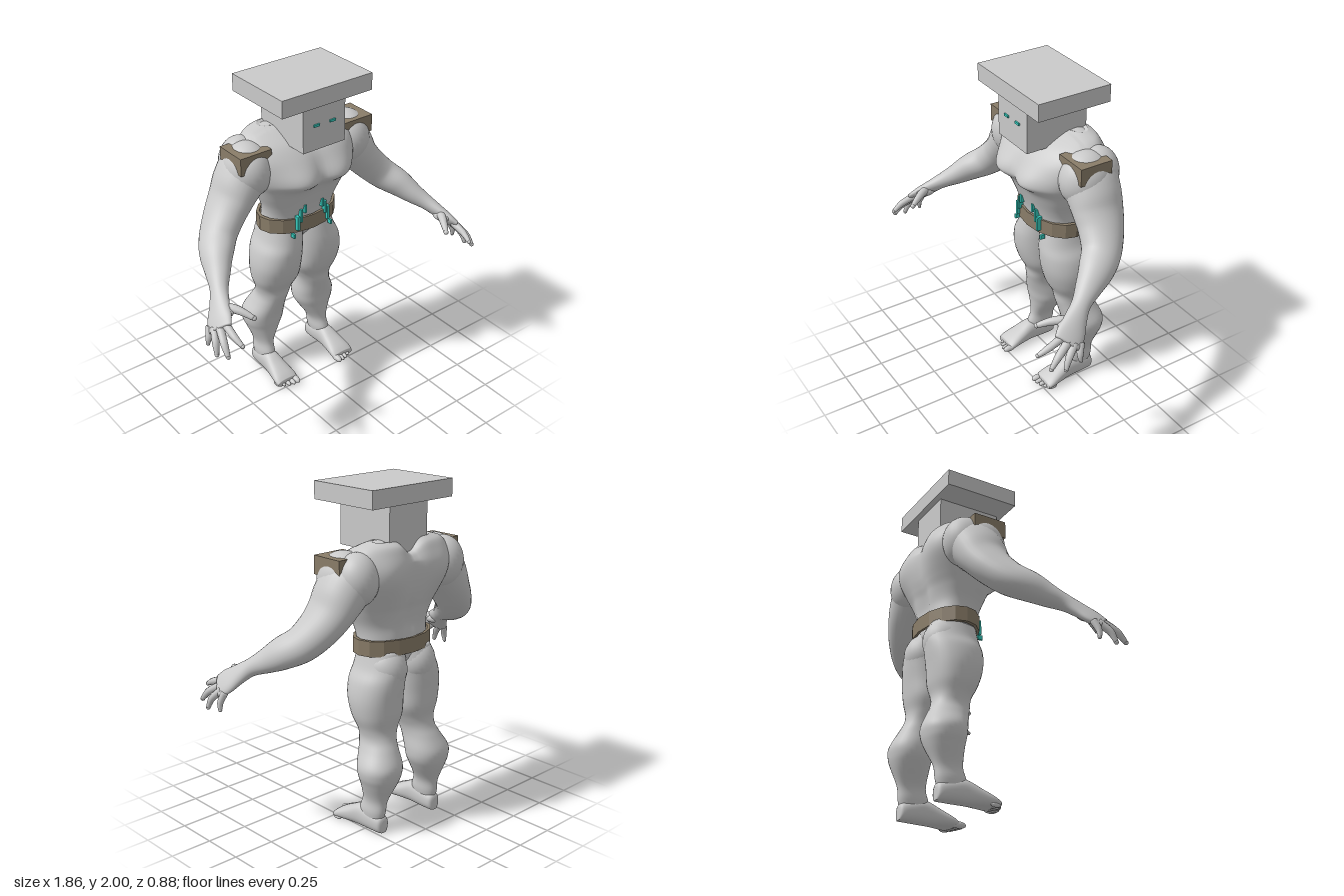
import * as THREE from 'three';

const skin = new THREE.MeshStandardMaterial({ color: 0xcacaca });
skin.name = 'grey skin';
const leather = new THREE.MeshStandardMaterial({ color: 0x8a7d69, flatShading: true });
leather.name = 'brown leather';
const glow = new THREE.MeshStandardMaterial({ color: 0x36cbbd });
glow.name = 'teal glow';

const UP = new THREE.Vector3(0, 1, 0);
const FRONT = new THREE.Vector3(0, 0, 1);

function add(parent, name, geometry, material, x = 0, y = 0, z = 0) {
  const mesh = new THREE.Mesh(geometry, material);
  mesh.name = name;
  mesh.position.set(x, y, z);
  parent.add(mesh);
  return mesh;
}

// Box given by its limits
function block(parent, name, material, x0, x1, y0, y1, z0, z1) {
  return add(parent, name, new THREE.BoxGeometry(Math.abs(x1 - x0), y1 - y0, z1 - z0), material,
    (x0 + x1) / 2, (y0 + y1) / 2, (z0 + z1) / 2);
}

function muscle(parent, name, c, r, tilt = 0) {
  const mesh = add(parent, name, new THREE.SphereGeometry(1, 28, 20), skin, ...c);
  mesh.scale.set(...r);
  mesh.rotation.z = tilt;
  return mesh;
}

// Smooth interpolation through rows of numbers
function refine(rows, steps) {
  const out = [];
  const at = (i) => rows[Math.max(0, Math.min(rows.length - 1, i))];
  for (let i = 0; i < rows.length - 1; i++) {
    for (let k = 0; k < steps; k++) {
      const u = k / steps;
      out.push(rows[i].map((b, n) => {
        const a = at(i - 1)[n], c = at(i + 1)[n], d = at(i + 2)[n];
        return b + 0.5 * u * (c - a + u * (2 * a - 5 * b + 4 * c - d + u * (3 * (b - c) + d - a)));
      }));
    }
  }
  out.push(rows[rows.length - 1]);
  return out;
}

// Skin over elliptical sections [x, y, z, radiusA, radiusB]
function loft(rows, { axis = null, ref = FRONT, power = 2, sides = 32, steps = 5, warp = null } = {}) {
  const rings = refine(rows, steps), pos = [], index = [];
  const point = (r) => new THREE.Vector3(r[0], r[1], r[2]);
  const push = (v) => { if (warp) warp(v); pos.push(v.x, v.y, v.z); };
  const round = (c) => Math.sign(c) * Math.abs(c) ** (2 / power);
  rings.forEach((r, i) => {
    const t = axis || point(rings[Math.min(i + 1, rings.length - 1)]).sub(point(rings[Math.max(i - 1, 0)])).normalize();
    const a = new THREE.Vector3().crossVectors(t, ref).normalize();
    const b = new THREE.Vector3().crossVectors(t, a);
    for (let j = 0; j < sides; j++) {
      const q = (j / sides) * Math.PI * 2;
      push(point(r).addScaledVector(a, r[3] * round(Math.cos(q))).addScaledVector(b, r[4] * round(Math.sin(q))));
    }
  });
  const last = (rings.length - 1) * sides, cap = rings.length * sides;
  push(point(rings[0]));
  push(point(rings[rings.length - 1]));
  for (let j = 0; j < sides; j++) {
    const k = (j + 1) % sides;
    for (let i = 0; i < last; i += sides) {
      index.push(i + j, i + k, i + sides + j, i + k, i + sides + k, i + sides + j);
    }
    index.push(cap, k, j, cap + 1, last + j, last + k);
  }
  const g = new THREE.BufferGeometry();
  g.setAttribute('position', new THREE.Float32BufferAttribute(pos, 3));
  g.setIndex(index);
  g.computeVertexNormals();
  return g;
}

// Horizontal section from its limits
const slice = (s) => ([y, x0, x1, zf, zb]) =>
  [s * (x0 + x1) / 2, y, (zf + zb) / 2, (x1 - x0) / 2, (zf - zb) / 2];

const bump = (d, width) => Math.exp(-((d / width) ** 2));

function buildTorso(parent) {
  const rows = [
    [0.93, 0.04, -0.16, -0.29], [1.00, 0.13, -0.105, -0.345], [1.06, 0.222, -0.07, -0.36],
    [1.15, 0.225, -0.055, -0.35], [1.22, 0.24, -0.035, -0.345], [1.30, 0.275, -0.005, -0.36],
    [1.36, 0.30, 0.02, -0.38], [1.42, 0.325, 0.04, -0.395], [1.50, 0.355, 0.025, -0.405],
    [1.57, 0.365, -0.005, -0.405], [1.63, 0.345, -0.06, -0.39], [1.675, 0.29, -0.14, -0.37],
    [1.70, 0.21, -0.20, -0.335],
  ].map(([y, w, zf, zb]) => slice(1)([y, -w, w, zf, zb]));
  const warp = (v) => {
    const x = Math.abs(v.x), groove = bump(x, 0.06), lift = v.y - 1.43;
    if (v.z < -0.2) {
      // Spine groove, shoulder blades and the ridges beside the spine
      v.z += 0.02 * groove - 0.04 * bump(x - 0.23, 0.13) * bump(v.y - 1.51, 0.14);
      v.z -= 0.012 * bump(x - 0.08, 0.05) * bump(v.y - 1.24, 0.1);
    } else {
      // Chest muscles with a steeper lower edge, and the breastbone
      v.z += 0.055 * bump(x - 0.13, 0.13) * bump(lift, lift > 0 ? 0.1 : 0.05) - 0.01 * groove;
    }
    // Dip at the neck
    v.y -= Math.max(0, v.y - 1.58) * 0.6 * groove;
  };
  add(parent, 'torso', loft(rows, { axis: UP, power: 2.3, sides: 96, steps: 8, warp }), skin);
}

function buildLeg(parent, s) {
  const rows = [
    [0.04, 0.182, 0.255, -0.21, -0.345], [0.12, 0.165, 0.268, -0.188, -0.37], [0.20, 0.157, 0.265, -0.21, -0.38],
    [0.30, 0.10, 0.30, -0.205, -0.42], [0.36, 0.07, 0.322, -0.195, -0.437], [0.42, 0.063, 0.322, -0.185, -0.437],
    [0.50, 0.068, 0.28, -0.165, -0.40], [0.56, 0.06, 0.258, -0.15, -0.37], [0.62, 0.035, 0.265, -0.14, -0.36],
    [0.70, -0.002, 0.292, -0.10, -0.375], [0.80, -0.008, 0.302, -0.07, -0.385], [0.90, -0.012, 0.285, -0.06, -0.395],
    [0.98, -0.015, 0.247, -0.068, -0.395], [1.08, -0.015, 0.22, -0.085, -0.36],
  ].map(slice(s));
  add(parent, 'leg', loft(rows, { axis: UP, power: 2.15 }), skin);
  muscle(parent, 'buttock', [s * 0.115, 0.965, -0.27], [0.122, 0.14, 0.132]);

  // Foot along z: z, centre x, half width, height
  const foot = [
    [-0.372, 0.215, 0.02, 0.08], [-0.355, 0.215, 0.044, 0.105], [-0.28, 0.217, 0.054, 0.13], [-0.20, 0.22, 0.055, 0.14],
    [-0.12, 0.222, 0.066, 0.105], [-0.05, 0.223, 0.076, 0.07], [-0.015, 0.222, 0.072, 0.045],
  ].map(([z, x, w, h]) => [s * x, h / 2, z, w, h / 2]);
  const flatten = (v) => { v.y = Math.max(0.006, v.y); };
  add(parent, 'foot', loft(foot, { axis: FRONT, ref: UP, power: 2.3, warp: flatten }), skin);
  for (let i = 0; i < 5; i++) {
    const r = i === 0 ? 0.02 : 0.0155 - i * 0.0007;
    muscle(parent, 'toe', [s * (0.168 + i * 0.029), r, -0.012 - i * i * 0.0022], [r, r, 0.043 - i * 0.003]);
  }
}

function buildArm(parent, s) {
  const flip = ([x, ...rest]) => [s * x, ...rest];
  const rows = [
    [0.25, 1.56, -0.22, 0.09, 0.11], [0.33, 1.51, -0.215, 0.14, 0.16], [0.40, 1.43, -0.21, 0.135, 0.16],
    [0.46, 1.345, -0.20, 0.112, 0.15], [0.525, 1.265, -0.178, 0.102, 0.133], [0.60, 1.185, -0.13, 0.094, 0.114],
    [0.665, 1.13, -0.05, 0.083, 0.1], [0.715, 1.075, 0.035, 0.063, 0.074], [0.76, 1.03, 0.11, 0.046, 0.054],
    [0.80, 0.985, 0.17, 0.038, 0.064], [0.842, 0.935, 0.23, 0.031, 0.082], [0.868, 0.905, 0.275, 0.02, 0.075],
  ].map(flip);
  add(parent, 'arm', loft(rows), skin);
  muscle(parent, 'deltoid', [s * 0.35, 1.5, -0.19], [0.14, 0.165, 0.158]);
  muscle(parent, 'rear deltoid', [s * 0.335, 1.515, -0.275], [0.125, 0.15, 0.125]);
  muscle(parent, 'thumb base', [s * 0.797, 0.97, 0.215], [0.045, 0.032, 0.065]);

  // Fingers: knuckle, middle, tip, thickness; thumb last
  const fingers = [
    [[0.838, 0.93, 0.28], [0.842, 0.90, 0.365], [0.832, 0.868, 0.43], 0.02],
    [[0.862, 0.91, 0.26], [0.89, 0.86, 0.34], [0.90, 0.805, 0.39], 0.021],
    [[0.878, 0.895, 0.23], [0.908, 0.84, 0.285], [0.92, 0.78, 0.31], 0.02],
    [[0.885, 0.89, 0.195], [0.905, 0.835, 0.212], [0.911, 0.79, 0.21], 0.018],
    [[0.805, 0.98, 0.19], [0.752, 0.98, 0.275], [0.704, 0.95, 0.355], 0.024],
  ];
  fingers.forEach(([a, b, c, r], i) => {
    const path = [[...a, r * 1.15, r * 1.15], [...b, r, r], [...c, r * 0.6, r * 0.6]].map(flip);
    add(parent, i === 4 ? 'thumb' : 'finger', loft(path, { sides: 12 }), skin);
    muscle(parent, 'fingertip', [s * c[0], c[1], c[2]], [r * 0.62, r * 0.62, r * 0.62]);
  });
}

export function createModel() {
  const model = new THREE.Group();
  model.name = 'muscular figure';
  buildTorso(model);

  // Block head and flat cap
  block(model, 'head', skin, -0.145, 0.145, 1.628, 1.9, -0.33, 0.06);
  block(model, 'cap', skin, -0.306, 0.306, 1.898, 2.0, -0.366, 0.094);

  // Faceted belt with a rectangular section
  const band = [[0.92, 0], [1, 0], [1, 0.09], [0.92, 0.09], [0.92, 0]].map((p) => new THREE.Vector2(...p));
  const belt = add(model, 'belt', new THREE.LatheGeometry(band, 16), leather, 0, 1.06, -0.21);
  belt.scale.set(0.262, 1, 0.173);

  for (const s of [1, -1]) {
    const side = new THREE.Group();
    side.name = s > 0 ? 'left side' : 'right side';
    model.add(side);
    buildLeg(side, s);
    buildArm(side, s);
    muscle(side, 'trapezius', [s * 0.2, 1.6, -0.255], [0.17, 0.095, 0.115], s * -0.25);
    block(side, 'shoulder pad', leather, s * 0.257, s * 0.463, 1.535, 1.64, -0.28, -0.078);
    block(side, 'eye', glow, s * 0.036, s * 0.074, 1.77, 1.784, 0.06, 0.069);
    // Glowing slivers on the belly: x, bottom, top, z, width
    for (const [x, y0, y1, z, w] of [
      [0.062, 1.185, 1.237, -0.044, 0.014], [0.087, 1.13, 1.212, -0.048, 0.013],
      [0.108, 1.08, 1.17, -0.049, 0.017], [0.135, 1.033, 1.06, -0.055, 0.013],
    ]) block(side, 'belly glow', glow, s * (x - w / 2), s * (x + w / 2), y0, y1, z - 0.015, z + 0.015);
  }
  return model;
}
